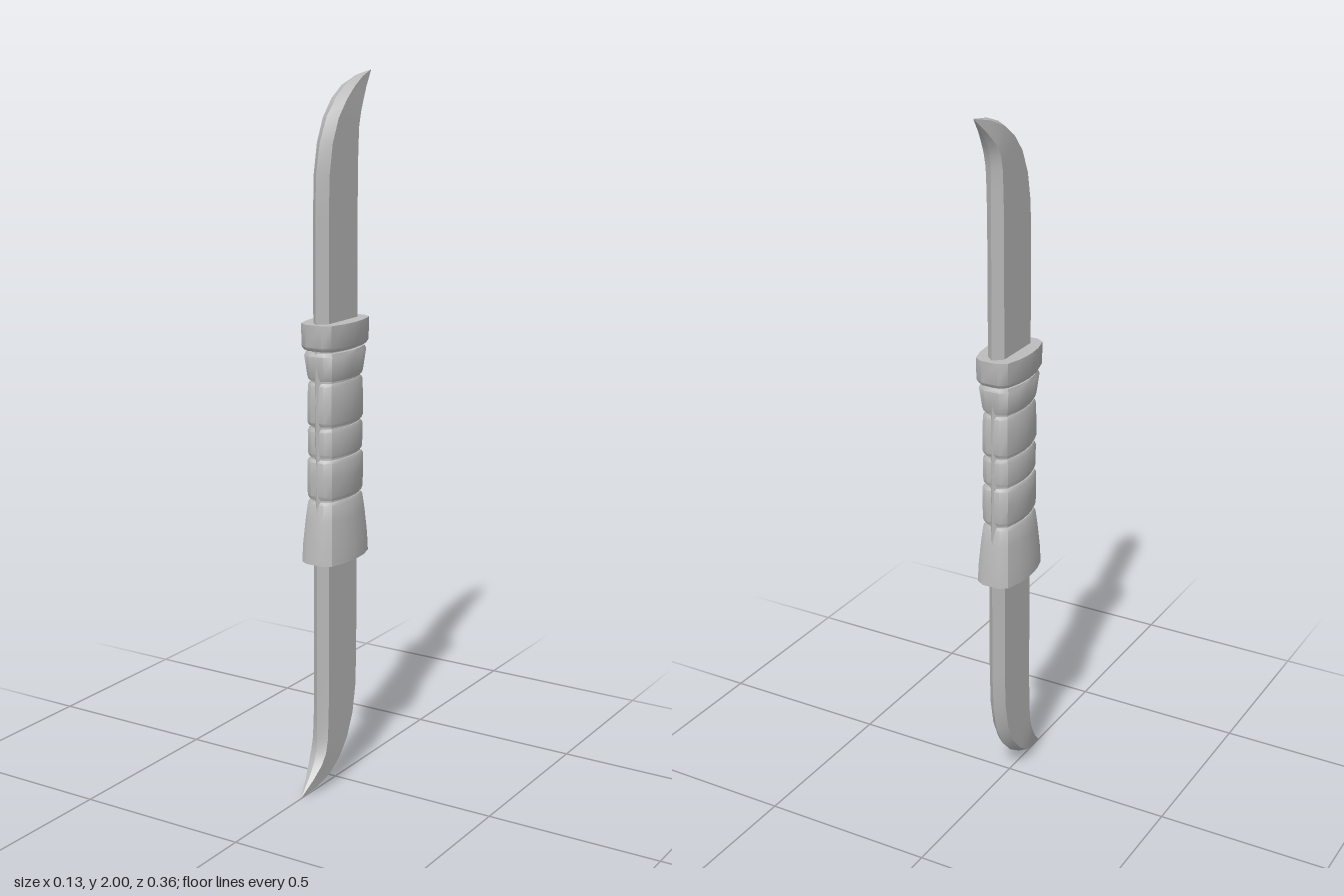
import * as THREE from 'three';
import { toCreasedNormals } from 'three/addons/utils/BufferGeometryUtils.js';

const steel = new THREE.MeshStandardMaterial({ color: 0xbcbcbc });
steel.name = 'grey steel';

// Skins a stack of rings (bottom to top, each running from +x towards +z) and caps both ends
function loft(rings, crease) {
  const n = rings[0].length, pos = [];
  const tri = (a, b, c) => pos.push(...a, ...b, ...c);
  const middle = r => [0, 1, 2].map(k => r.reduce((s, p) => s + p[k], 0) / n);
  const first = rings[0], last = rings[rings.length - 1];
  const low = middle(first), high = middle(last);
  for (let j = 0; j < n; j++) {
    const k = (j + 1) % n;
    for (let i = 0; i < rings.length - 1; i++) {
      const a = rings[i], b = rings[i + 1];
      tri(a[j], b[j], a[k]);
      tri(b[j], b[k], a[k]);
    }
    tri(low, first[j], first[k]);
    tri(high, last[k], last[j]);
  }
  const g = new THREE.BufferGeometry();
  g.setAttribute('position', new THREE.Float32BufferAttribute(pos, 3));
  return toCreasedNormals(g, crease);
}

// Blade stations: spine z, spine y, edge z, edge y, half thickness (y from the grip's middle)
const stations = [
  [-0.097, 0, 0.1, 0, 0.025],
  [-0.097, 0.6, 0.1, 0.63, 0.025],
  [-0.097, 0.71, 0.095, 0.74, 0.025],
  [-0.097, 0.79, 0.077, 0.82, 0.025],
  [-0.097, 0.85, 0.043, 0.885, 0.025],
  [-0.101, 0.885, -0.005, 0.935, 0.025],
  [-0.113, 0.915, -0.058, 0.97, 0.022],
  [-0.14, 0.953, -0.115, 0.99, 0.013],
  [-0.181, 0.998, -0.18, 1, 0.0005],
];

// Hexagonal section with both the edge and the spine bevelled
function bladeGeometry() {
  const rings = stations.map(([sz, sy, ez, ey, w]) => {
    const at = (x, t) => [x, sy + (ey - sy) * t, sz + (ez - sz) * t];
    return [at(w, 0.86), at(0, 1), at(-w, 0.86), at(-w, 0.12), at(0, 0), at(w, 0.12)];
  });
  return loft(rings, 0.6);
}

// Faceted oval for the grip, with half width rx and half depth rz
const quarter = [[1, 0], [0.93, 0.45], [0.74, 0.86], [0.38, 1]];
const oval = [
  ...quarter,
  ...quarter.slice(1).reverse().map(([x, z]) => [-x, z]),
  ...quarter.map(([x, z]) => [-x, -z]),
  ...quarter.slice(1).reverse().map(([x, z]) => [x, -z]),
];
const ovalRing = ([y, rx, rz]) => oval.map(([x, z]) => [x * rx, y, z * rz]);

// Grip pieces as profiles of y, half width, half depth
const gripParts = {
  gripCore: [[0.7, 0.046, 0.086], [1.3, 0.046, 0.086]],
  lowerFlare: [[0.668, 0.066, 0.111], [0.72, 0.064, 0.108], [0.79, 0.058, 0.1], [0.836, 0.053, 0.093], [0.844, 0.049, 0.089]],
  lowerWrap: [[0.85, 0.05, 0.09], [0.86, 0.053, 0.094], [0.91, 0.054, 0.095], [0.955, 0.054, 0.095], [0.963, 0.05, 0.09]],
  middleWrap: [[0.969, 0.05, 0.089], [0.978, 0.052, 0.092], [1.04, 0.053, 0.093], [1.05, 0.049, 0.089]],
  upperWrap: [[1.056, 0.05, 0.09], [1.066, 0.053, 0.095], [1.12, 0.053, 0.095], [1.168, 0.051, 0.093], [1.176, 0.048, 0.089]],
  topWrap: [[1.182, 0.05, 0.09], [1.192, 0.053, 0.094], [1.25, 0.061, 0.102], [1.26, 0.057, 0.097]],
  collar: [[1.266, 0.06, 0.104], [1.276, 0.065, 0.111], [1.338, 0.066, 0.112]],
};

export function createModel() {
  const model = new THREE.Group();
  model.name = 'doubleBladedKnife';
  const add = (name, geometry) => {
    const mesh = new THREE.Mesh(geometry, steel);
    mesh.name = name;
    model.add(mesh);
    return mesh;
  };

  // Two matching blades, the lower one turned half round
  const blade = bladeGeometry();
  add('upperBlade', blade).position.y = 1;
  const lower = add('lowerBlade', blade);
  lower.position.y = 1;
  lower.rotation.x = Math.PI;

  // Wrapped grip
  for (const [name, profile] of Object.entries(gripParts)) add(name, loft(profile.map(ovalRing), 0.65));
  return model;
}
